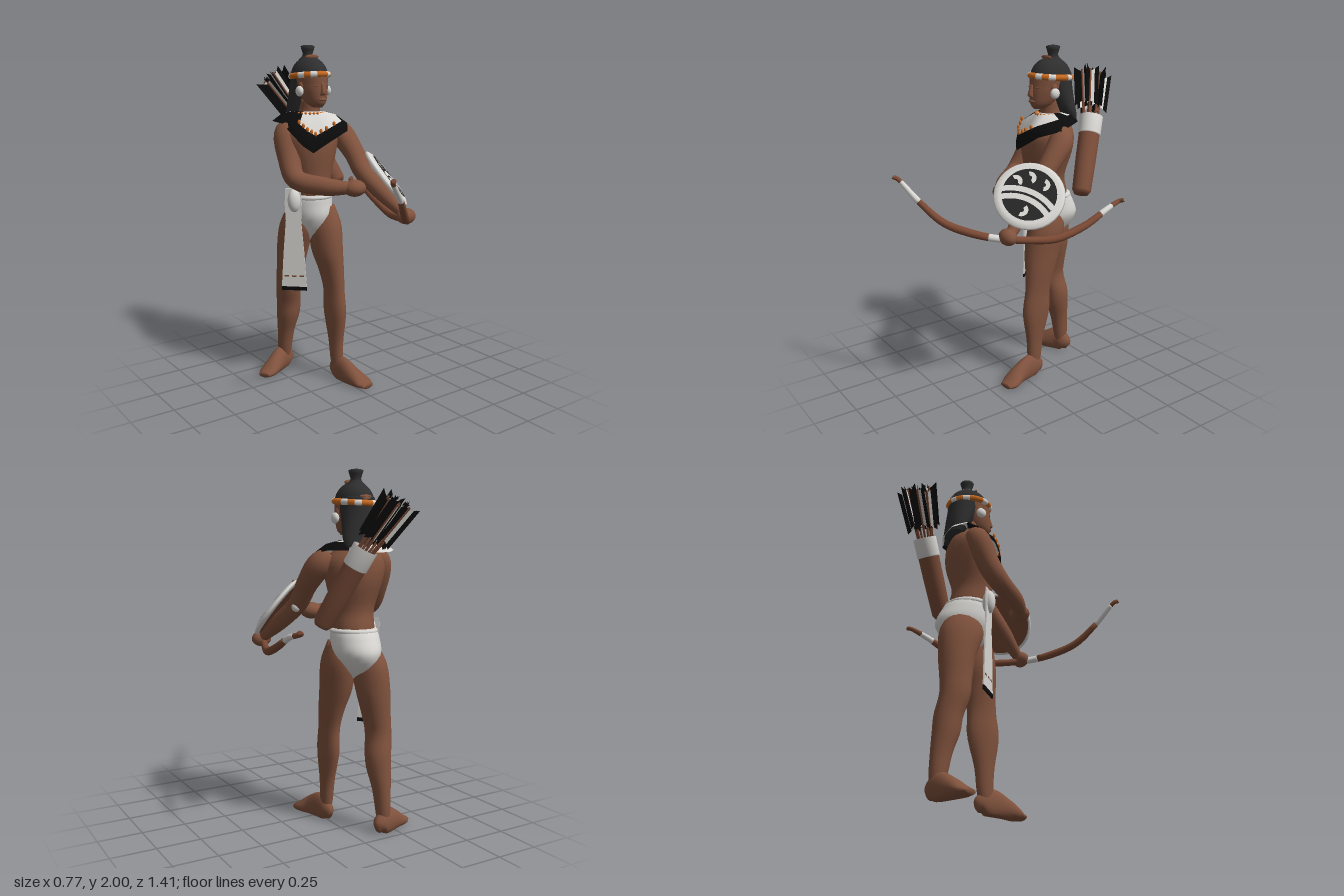
import * as THREE from 'three';

const V = (x, y, z) => new THREE.Vector3(x, y, z);
const mat = (name, color, side = THREE.FrontSide) => {
  const m = new THREE.MeshStandardMaterial({ color, side });
  m.name = name;
  return m;
};

// Smooth body through keys [x, y, z, a, b]; level = horizontal sections, keys run upward
function sweep(keys, { level = false, t0 = 0, t1 = 1, steps = 28, sides = 20, floor = -1 } = {}) {
  const path = new THREE.CatmullRomCurve3(keys.map(k => V(k[0], k[1], k[2])), false, 'catmullrom');
  const size = new THREE.CatmullRomCurve3(keys.map(k => V(k[3], k[4] ?? k[3], 0)), false, 'catmullrom');
  const pos = [], idx = [];
  let U = null;
  for (let i = 0; i <= steps; i++) {
    const t = t0 + (t1 - t0) * i / steps;
    const c = path.getPoint(t), s = size.getPoint(t), T = path.getTangent(t);
    let W;
    if (level) { U = V(1, 0, 0); W = V(0, 0, -1); }
    else {
      if (!U) U = Math.abs(T.y) > 0.95 ? V(1, 0, 0) : T.clone().cross(V(0, 1, 0));
      U.addScaledVector(T, -U.dot(T)).normalize();
      W = T.clone().cross(U);
    }
    for (let j = 0; j < sides; j++) {
      const a = j / sides * Math.PI * 2;
      const p = c.clone().addScaledVector(U, Math.cos(a) * s.x).addScaledVector(W, Math.sin(a) * s.y);
      pos.push(p.x, Math.max(floor, p.y), p.z);
    }
  }
  for (let i = 0; i < steps; i++) for (let j = 0; j < sides; j++) {
    const a = i * sides + j, b = i * sides + (j + 1) % sides;
    idx.push(a, b, b + sides, a, b + sides, a + sides);
  }
  // end caps
  const last = steps * sides;
  for (let j = 1; j < sides - 1; j++) idx.push(0, j + 1, j, last, last + j, last + j + 1);
  const g = new THREE.BufferGeometry();
  g.setAttribute('position', new THREE.Float32BufferAttribute(pos, 3));
  g.setIndex(idx);
  g.computeVertexNormals();
  return g;
}

export function createModel() {
  const root = new THREE.Group();
  const skin = mat('skin', 0x80523d), white = mat('white cloth', 0xd8d6d2, THREE.DoubleSide);
  const hair = mat('hair', 0x2e2e2e), black = mat('black cloth', 0x0b0b0b, THREE.DoubleSide);
  const orange = mat('orange beads', 0xc8691f), wood = mat('wood', 0x7a4934);
  const leather = mat('leather', 0x7b4d39), dark = mat('shield paint', 0x262626);

  const add = (name, geo, m, parent = root) => {
    const mesh = new THREE.Mesh(geo, m);
    mesh.name = name;
    parent.add(mesh);
    return mesh;
  };
  const ball = (name, p, s, m) => {
    const b = add(name, new THREE.SphereGeometry(1, 18, 12), m);
    b.position.set(...p);
    b.scale.set(...s);
    return b;
  };
  const level = (name, keys, m) => add(name, sweep(keys, { level: true }), m);
  const lathe = pts => new THREE.LatheGeometry(pts.map(p => new THREE.Vector2(...p)), 32);

  // Torso and neck
  level('torso', [[-0.085, 1.06, -0.24, 0.11, 0.12], [-0.085, 1.15, -0.23, 0.118, 0.122], [-0.09, 1.25, -0.22, 0.12, 0.115],
    [-0.09, 1.4, -0.23, 0.165, 0.142], [-0.09, 1.5, -0.235, 0.18, 0.138], [-0.085, 1.57, -0.25, 0.125, 0.1],
    [-0.08, 1.61, -0.25, 0.065, 0.07], [-0.077, 1.7, -0.24, 0.056, 0.062]], skin);

  // Legs and feet
  level('leftLeg', [[-0.002, 0.05, -0.08, 0.028, 0.034], [-0.003, 0.13, -0.085, 0.035, 0.046], [-0.005, 0.25, -0.09, 0.04, 0.057],
    [-0.005, 0.42, -0.1, 0.052, 0.092], [-0.005, 0.56, -0.11, 0.052, 0.085], [-0.01, 0.68, -0.13, 0.066, 0.098],
    [-0.022, 0.8, -0.155, 0.084, 0.117], [-0.018, 0.95, -0.18, 0.088, 0.118], [-0.01, 1.07, -0.19, 0.05, 0.07]], skin);
  level('rightLeg', [[-0.168, 0.05, -0.425, 0.03, 0.034], [-0.17, 0.13, -0.42, 0.041, 0.047], [-0.168, 0.25, -0.405, 0.05, 0.058],
    [-0.165, 0.36, -0.382, 0.068, 0.073], [-0.165, 0.45, -0.372, 0.073, 0.077], [-0.182, 0.56, -0.347, 0.07, 0.083],
    [-0.172, 0.66, -0.34, 0.078, 0.088], [-0.155, 0.8, -0.33, 0.094, 0.103], [-0.145, 0.95, -0.3, 0.09, 0.125], [-0.14, 1.07, -0.28, 0.05, 0.07]], skin);
  add('leftFoot', sweep([[0, 0.03, -0.13, 0.015, 0.025], [0, 0.05, -0.1, 0.036, 0.06], [0.006, 0.06, -0.04, 0.042, 0.085],
    [0.02, 0.045, 0.05, 0.05, 0.06], [0.042, 0.025, 0.12, 0.058, 0.032], [0.048, 0.016, 0.168, 0.038, 0.015]], { floor: 0 }), skin);
  add('rightFoot', sweep([[-0.118, 0.03, -0.445, 0.015, 0.025], [-0.145, 0.05, -0.435, 0.042, 0.06], [-0.2, 0.06, -0.418, 0.046, 0.078],
    [-0.265, 0.045, -0.385, 0.052, 0.058], [-0.33, 0.025, -0.355, 0.056, 0.032], [-0.375, 0.016, -0.335, 0.036, 0.015]], { floor: 0 }), skin);

  // Arms and hands
  add('rightArm', sweep([[-0.17, 1.545, -0.26, 0.045], [-0.235, 1.5, -0.255, 0.07], [-0.25, 1.36, -0.2, 0.066], [-0.252, 1.25, -0.12, 0.058],
    [-0.155, 1.22, 0.02, 0.052], [-0.065, 1.215, 0.105, 0.037], [-0.03, 1.21, 0.135, 0.03]]), skin);
  ball('rightHand', [-0.022, 1.212, 0.122], [0.068, 0.048, 0.06], skin);
  add('leftArm', sweep([[0.05, 1.545, -0.21, 0.045], [0.105, 1.49, -0.185, 0.07], [0.13, 1.38, -0.09, 0.06], [0.135, 1.27, 0.0, 0.054],
    [0.18, 1.165, 0.12, 0.05], [0.222, 1.08, 0.22, 0.034], [0.24, 1.05, 0.26, 0.03]]), skin);
  ball('leftArmPatch', [0.157, 1.255, -0.02], [0.03, 0.032, 0.026], white);
  ball('leftHand', [0.236, 1.045, 0.268], [0.06, 0.046, 0.046], skin);

  // Head with face details
  level('head', [[-0.077, 1.65, -0.17, 0.025, 0.04], [-0.077, 1.68, -0.19, 0.055, 0.08], [-0.077, 1.73, -0.215, 0.076, 0.108],
    [-0.077, 1.78, -0.232, 0.086, 0.122], [-0.078, 1.85, -0.245, 0.09, 0.125], [-0.078, 1.9, -0.25, 0.05, 0.07]], skin);
  add('nose', sweep([[-0.077, 1.72, -0.112, 0.018, 0.014], [-0.077, 1.735, -0.102, 0.016, 0.016], [-0.077, 1.79, -0.115, 0.01, 0.012]],
    { level: true, steps: 8, sides: 10 }), skin);
  ball('lips', [-0.077, 1.695, -0.112], [0.026, 0.009, 0.012], skin);
  for (const s of [-1, 1]) {
    ball('eye', [-0.077 + s * 0.037, 1.772, -0.123], [0.016, 0.004, 0.004], leather).rotation.y = s * 0.4;
    ball('ear', [-0.077 + s * 0.083, 1.765, -0.21], [0.012, 0.03, 0.02], skin);
    ball('earring', [-0.077 + s * 0.095, 1.742, -0.205], [0.02, 0.03, 0.03], white);
  }

  // Hair: cap, long back, topknot and comb
  const cap = add('hairCap', new THREE.SphereGeometry(1, 24, 10, 0, Math.PI * 2, 0, Math.PI / 2), hair);
  cap.position.set(-0.078, 1.82, -0.245);
  cap.scale.set(0.1, 0.115, 0.127);
  level('backHair', [[-0.07, 1.585, -0.345, 0.1, 0.045], [-0.072, 1.63, -0.327, 0.11, 0.058], [-0.075, 1.7, -0.305, 0.104, 0.076],
    [-0.077, 1.78, -0.283, 0.098, 0.09], [-0.078, 1.85, -0.273, 0.094, 0.096]], hair);
  const knot = add('topknot', lathe([[0.055, 0], [0.034, 0.02], [0.028, 0.035], [0.036, 0.06], [0.041, 0.078], [0.025, 0.084], [0, 0.085]]), hair);
  knot.position.set(-0.078, 1.915, -0.26);
  ball('comb', [-0.078, 1.933, -0.215], [0.045, 0.014, 0.012], leather);

  // Headband of alternating beads
  const band = new THREE.Group();
  band.name = 'headband';
  band.position.set(-0.077, 1.828, -0.243);
  band.rotation.x = -0.08;
  band.scale.set(1, 1, 1.22);
  root.add(band);
  for (let i = 0; i < 20; i++) {
    const g = new THREE.TorusGeometry(0.1, 0.0175, 8, 3, Math.PI / 10).rotateX(Math.PI / 2);
    add('headbandBead', g, i % 5 === 2 || i % 5 === 4 ? white : orange, band).rotation.y = i * Math.PI / 10;
  }

  // Shoulder cape: neck ring, middle ring and a pointed hem
  const hem = [[-0.17, 1.4, -0.07], [-0.08, 1.445, -0.068], [0.06, 1.515, -0.06], [0.135, 1.55, -0.165], [0.1, 1.57, -0.27], [0.03, 1.57, -0.365],
    [-0.08, 1.56, -0.41], [-0.2, 1.56, -0.41], [-0.28, 1.57, -0.335], [-0.268, 1.56, -0.24], [-0.255, 1.5, -0.155], [-0.22, 1.44, -0.1]].map(p => V(...p));
  const neck = hem.map(p => {
    const a = Math.atan2(p.z + 0.25, p.x + 0.08);
    return V(-0.08 + 0.072 * Math.cos(a), 1.625, -0.25 + 0.08 * Math.sin(a));
  });
  const middle = hem.map((p, i) => {
    const front = p.z > -0.16;
    return neck[i].clone().lerp(p, front ? 0.66 : 0.55).add(V(0, 0.02, front ? 0.032 : -0.006));
  });
  const capeGeo = new THREE.BufferGeometry(), n = hem.length, ci = [];
  capeGeo.setAttribute('position', new THREE.Float32BufferAttribute([...neck, ...middle, ...hem].flatMap(p => p.toArray()), 3));
  const whiteCells = [[0, 1, 2, 4, 5, 7, 10, 11], [5, 6, 7]];
  for (let r = 0; r < 2; r++) for (let i = 0; i < n; i++) {
    const a = r * n + i, b = r * n + (i + 1) % n;
    capeGeo.addGroup(ci.length, 6, whiteCells[r].includes(i) ? 0 : 1);
    ci.push(a, a + n, b + n, a, b + n, b);
  }
  capeGeo.setIndex(ci);
  capeGeo.computeVertexNormals();
  add('cape', capeGeo, [white, black]);

  // Orange beads around the neck and along the white cloth
  for (let i = 0; i < 11; i++) {
    const a = Math.PI * (0.05 + 0.09 * i);
    ball('necklaceBead', [-0.08 + 0.08 * Math.cos(a), 1.615, -0.25 + 0.09 * Math.sin(a)], [0.008, 0.008, 0.008], orange);
  }
  for (const i of [10, 11, 0, 1]) for (const f of [0, 0.5]) {
    const p = middle[i].clone().lerp(middle[(i + 1) % n], f);
    ball('capeBead', [p.x, p.y + 0.01, p.z], [0.009, 0.014, 0.008], orange);
  }

  // Loincloth, waist roll and hanging panel
  level('loincloth', [[-0.085, 0.86, -0.25, 0.025, 0.05], [-0.085, 0.93, -0.265, 0.085, 0.125], [-0.083, 1.01, -0.265, 0.128, 0.163],
    [-0.085, 1.09, -0.25, 0.132, 0.148], [-0.085, 1.145, -0.235, 0.124, 0.13]], white);
  const roll = add('waistRoll', new THREE.TorusGeometry(0.12, 0.013, 8, 28).rotateX(Math.PI / 2), white);
  roll.position.set(-0.085, 1.13, -0.237);
  roll.scale.set(1, 1, 1.06);
  const panel = new THREE.Group();
  panel.name = 'hangingPanel';
  panel.position.set(-0.235, 0, -0.188);
  panel.rotation.y = -0.76;
  root.add(panel);
  const cloth = new THREE.Shape([[-0.075, 0.6], [0.075, 0.6], [0.062, 0.8], [0.045, 1.0], [0.05, 1.1], [0.045, 1.19], [-0.045, 1.19], [-0.05, 1.1], [-0.045, 1.0], [-0.062, 0.8]]
    .map(p => new THREE.Vector2(...p)));
  add('panelCloth', new THREE.ExtrudeGeometry(cloth, { depth: 0.008, bevelEnabled: false }), white, panel);
  add('panelFringe', new THREE.BoxGeometry(0.15, 0.022, 0.009).translate(0, 0.588, 0.004), black, panel);
  for (const x of [-0.045, 0.0, 0.045]) add('panelStripe', new THREE.BoxGeometry(0.028, 0.009, 0.011).translate(x, 0.665, 0.004), leather, panel);
  ball('panelKnot', [-0.232, 1.12, -0.18], [0.042, 0.07, 0.035], white);

  // Bow with pale bindings
  const bow = [[-0.22, 1.345, 0.705, 0.012], [-0.2, 1.325, 0.675, 0.013], [-0.1, 1.22, 0.615, 0.017], [0, 1.115, 0.53, 0.021], [0.1, 1.065, 0.43, 0.022],
    [0.2, 1.035, 0.31, 0.02], [0.275, 1.012, 0.14, 0.021], [0.325, 1.01, 0, 0.023], [0.355, 1.06, -0.17, 0.021], [0.36, 1.125, -0.31, 0.017],
    [0.345, 1.152, -0.41, 0.013], [0.368, 1.165, -0.437, 0.012]];
  for (const [a, b, m] of [[0, 1.1, wood], [1.1, 2, white], [2, 4.7, wood], [4.7, 5.1, white], [5.1, 8.7, wood], [8.7, 9.4, white], [9.4, 11, wood]])
    add(m === wood ? 'bowLimb' : 'bowBinding', sweep(bow, { t0: a / 11, t1: b / 11, steps: 12, sides: 12 }), m);

  // Round shield, facing along its own z
  const shield = new THREE.Group();
  shield.name = 'shield';
  const face = V(0.625, 0.61, 0.48).normalize(), right = V(0, 1, 0).cross(face).normalize();
  shield.quaternion.setFromRotationMatrix(new THREE.Matrix4().makeBasis(right, face.clone().cross(right), face));
  shield.position.set(0.215, 1.245, 0.112);
  root.add(shield);
  add('shieldBody', lathe([[0, -0.015], [0.185, -0.015], [0.196, -0.004], [0.19, 0.006], [0.165, 0.016], [0, 0.016]]).rotateX(Math.PI / 2), white, shield);
  add('shieldBack', new THREE.CircleGeometry(0.18, 36).rotateY(Math.PI).translate(0, 0, -0.018), leather, shield);
  add('shieldField', new THREE.CircleGeometry(0.15, 40).translate(0, 0, 0.019), dark, shield);
  const arc = (x, y, r0, r1, mid, half) => add('shieldArc',
    new THREE.RingGeometry(r0, r1, 20, 1, mid - half, half * 2).translate(x, y, 0.022), white, shield);
  arc(-0.1, -0.24, 0.215, 0.247, 1.18, 0.64);
  arc(-0.1, -0.24, 0.26, 0.292, 1.18, 0.58);
  for (const [x, y, a] of [[-0.075, 0.075, 0.7], [0.0, 0.095, 0.3], [0.075, 0.055, -0.2], [-0.04, -0.09, -0.6]]) arc(x, y, 0.013, 0.037, a, 1.4);

  // Quiver with arrows, built along its own y
  const quiver = new THREE.Group();
  quiver.name = 'quiver';
  quiver.position.set(0.155, 1.18, -0.3);
  quiver.quaternion.setFromUnitVectors(V(0, 1, 0), V(-0.15, 0.41, -0.19).normalize());
  root.add(quiver);
  add('quiverTube', lathe([[0, -0.015], [0.04, -0.01], [0.055, 0.015], [0.06, 0.2], [0.062, 0.4]]), leather, quiver);
  add('quiverCollar', lathe([[0.062, 0.355], [0.067, 0.36], [0.068, 0.468], [0.06, 0.468], [0.055, 0.41], [0, 0.41]]), white, quiver);
  const bundle = new THREE.Group();
  bundle.name = 'arrowBundle';
  bundle.position.y = 0.39;
  bundle.rotation.z = 0.13;
  quiver.add(bundle);
  const vane = pts => new THREE.ShapeGeometry(new THREE.Shape(pts.map(p => new THREE.Vector2(...p))));
  for (let i = 0; i < 8; i++) {
    const a = i * Math.PI * 2 / 7, r = i < 7 ? 0.036 : 0, tilt = r ? 0.09 : 0, lift = (i % 3) * 0.012, arrow = new THREE.Group();
    arrow.name = 'arrow';
    arrow.position.set(r * Math.cos(a), 0, r * Math.sin(a));
    arrow.rotation.set(Math.sin(a) * tilt, 0, -Math.cos(a) * tilt);
    bundle.add(arrow);
    add('arrowShaft', new THREE.CylinderGeometry(0.007, 0.007, 0.35 + lift, 7).translate(0, 0.175 + lift / 2, 0), wood, arrow);
    for (let k = 0; k < 3; k++) {
      const turn = a + k * Math.PI * 2 / 3;
      add('featherInner', vane([[0, 0.15], [0.026, 0.135], [0.026, 0.35], [0, 0.335]]).translate(0, lift, 0), (i + k) % 3 ? white : black, arrow).rotation.y = turn;
      add('featherOuter', vane([[0.026, 0.135], [0.05, 0.12], [0.05, 0.37], [0.026, 0.35]]).translate(0, lift, 0), black, arrow).rotation.y = turn;
    }
  }
  return root;
}
